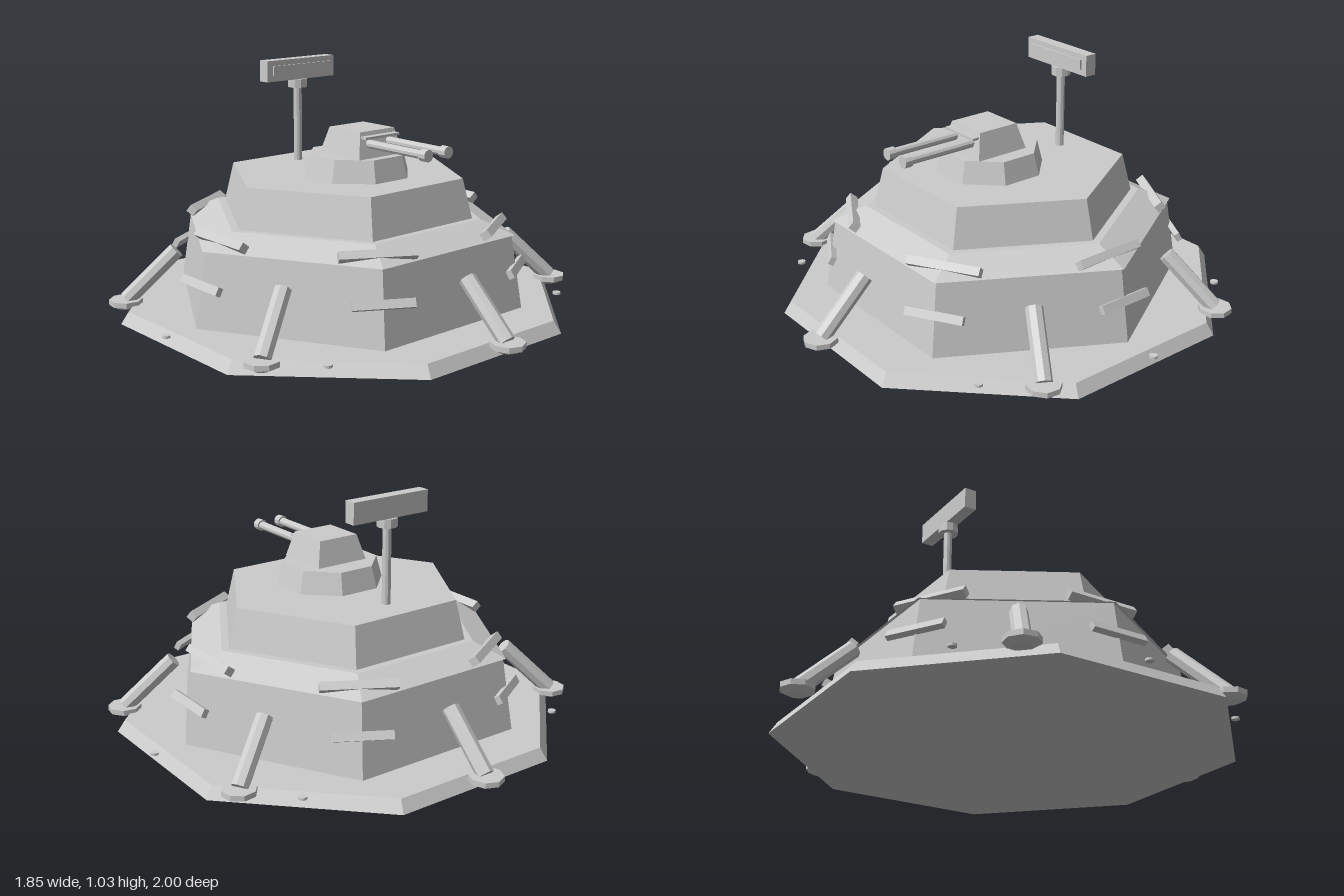
import * as THREE from 'three';

const material = new THREE.MeshStandardMaterial({ color: 0xcccccc, flatShading: true });

function add(parent, name, geometry, x = 0, y = 0, z = 0) {
  const mesh = new THREE.Mesh(geometry, material);
  mesh.name = name;
  mesh.position.set(x, y, z);
  parent.add(mesh);
  return mesh;
}

// Tapered prism with flat sides, standing between two heights
function prism(parent, name, sides, bottomR, topR, y0, y1, z = 0, turn = Math.PI / sides) {
  const geometry = new THREE.CylinderGeometry(topR, bottomR, y1 - y0, sides).rotateY(turn);
  return add(parent, name, geometry, 0, (y0 + y1) / 2, z);
}

// Rod between two points
function rod(parent, name, from, to, radius, sides = 10) {
  const axis = to.clone().sub(from);
  const mesh = add(parent, name, new THREE.CylinderGeometry(radius, radius, axis.length(), sides));
  mesh.position.copy(from).add(to).multiplyScalar(0.5);
  mesh.quaternion.setFromUnitVectors(new THREE.Vector3(0, 1, 0), axis.normalize());
  return mesh;
}

// Repeats a part that was built on the +z side around the vertical axis
function ring(parent, name, count, start, build) {
  for (let i = 0; i < count; i++) {
    const group = new THREE.Group();
    group.name = name;
    group.rotation.y = start + (i * 2 * Math.PI) / count;
    build(group);
    parent.add(group);
  }
}

export function createModel() {
  const model = new THREE.Group();
  model.name = 'bunker';
  const v = (x, y, z) => new THREE.Vector3(x, y, z);
  const octagon = 1 / Math.cos(Math.PI / 8);

  // Octagonal ground slab and stacked hexagonal hull
  prism(model, 'groundSlab', 8, 0.89 * octagon, 0.86 * octagon, 0, 0.05);
  prism(model, 'lowerHull', 6, 0.77, 0.72, 0.05, 0.355);
  prism(model, 'hullShoulder', 6, 0.733, 0.59, 0.355, 0.412);
  prism(model, 'upperHull', 6, 0.555, 0.512, 0.41, 0.577);

  // Bracing legs with octagonal feet
  ring(model, 'braceLeg', 6, 0, (g) => {
    rod(g, 'brace', v(0, 0.065, 0.925), v(0, 0.266, 0.715), 0.035, 8);
    prism(g, 'foot', 8, 0.07, 0.07, 0.045, 0.067, 0.93, 0);
    prism(g, 'footUnderside', 8, 0.04, 0.066, 0.03, 0.045, 0.93, 0);
  });

  // Two rows of bars at the hull corners
  ring(model, 'cornerBars', 6, Math.PI / 6, (g) => {
    const upper = add(g, 'upperBar', new THREE.BoxGeometry(0.305, 0.037, 0.034), 0, 0.385, 0.645);
    upper.rotation.x = 0.9;
    const lower = add(g, 'lowerBar', new THREE.BoxGeometry(0.243, 0.035, 0.024), 0, 0.222, 0.743);
    lower.rotation.x = -0.5;
  });

  // Bolts round the slab
  ring(model, 'slabBolt', 8, 0, (g) => prism(g, 'bolt', 10, 0.017, 0.017, 0.048, 0.058, 0.91));

  // Gun turret
  const turret = new THREE.Group();
  turret.name = 'turret';
  model.add(turret);
  prism(turret, 'turretBase', 8, 0.212 * octagon, 0.19 * octagon, 0.577, 0.67, 0.078);
  prism(turret, 'turretHead', 4, 0.122 * Math.SQRT2, 0.094 * Math.SQRT2, 0.67, 0.777, 0.108);
  add(turret, 'gunVisor', new THREE.BoxGeometry(0.186, 0.01, 0.05), 0, 0.755, 0.212);
  for (const x of [-0.055, 0.055]) {
    rod(turret, 'barrel', v(x, 0.727, 0.2), v(x, 0.727, 0.53), 0.018);
    rod(turret, 'muzzle', v(x, 0.727, 0.518), v(x, 0.727, 0.552), 0.025);
  }

  // Mast with a rectangular scanner
  const mast = new THREE.Group();
  mast.name = 'scannerMast';
  mast.position.z = -0.31;
  model.add(mast);
  prism(mast, 'mastPole', 10, 0.018, 0.018, 0.57, 0.91);
  prism(mast, 'mastCollar', 10, 0.042, 0.042, 0.9, 0.937);
  add(mast, 'scannerBody', new THREE.BoxGeometry(0.368, 0.09, 0.052), 0, 0.982, 0);
  add(mast, 'scannerPanel', new THREE.BoxGeometry(0.31, 0.042, 0.01), 0, 0.983, 0.028);

  return model;
}
